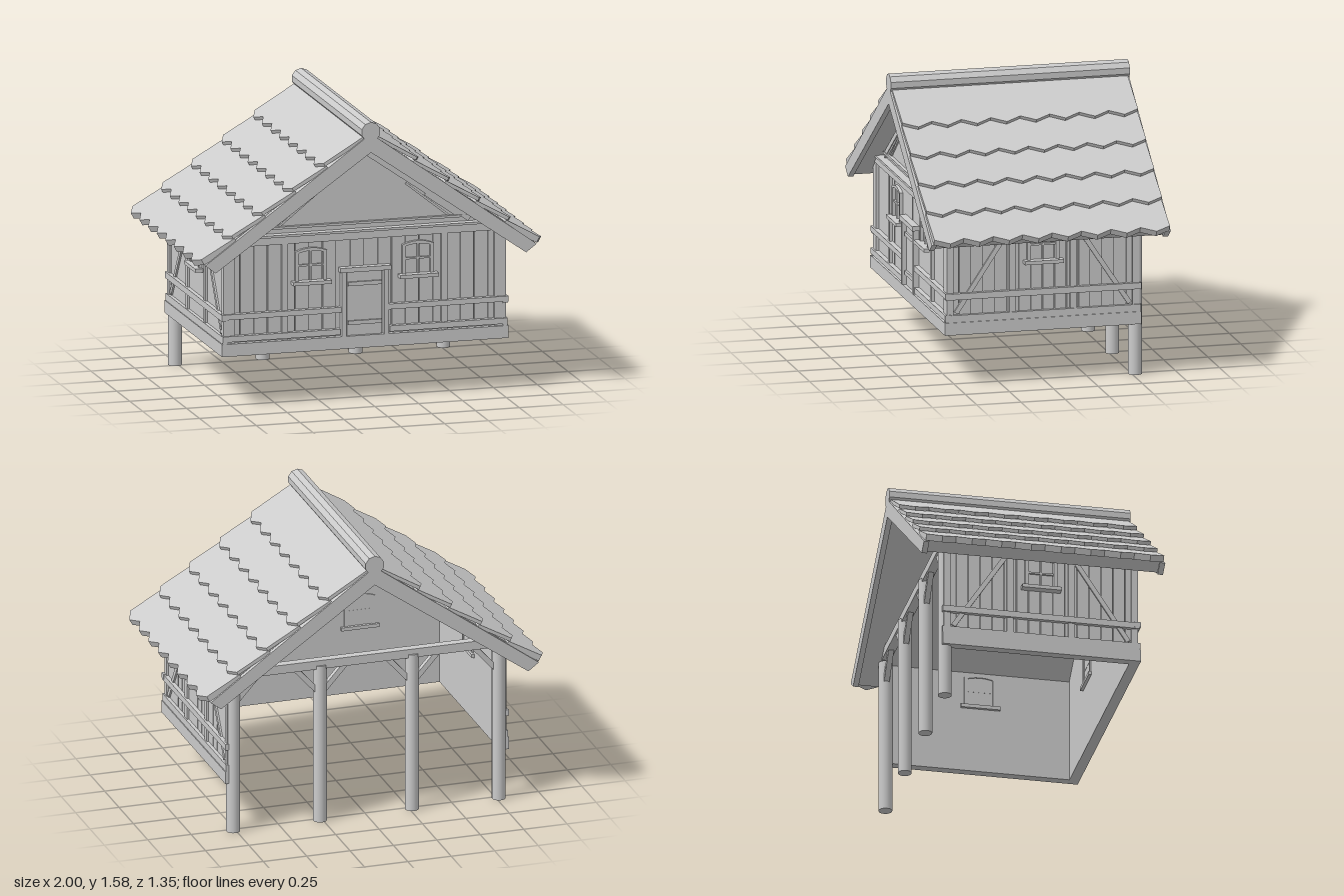
import * as THREE from 'three';

const timber = new THREE.MeshStandardMaterial({ color: 0xcccccc });
timber.name = 'paleTimber';

function add(parent, name, geometry) {
  const mesh = new THREE.Mesh(geometry, timber);
  mesh.name = name;
  parent.add(mesh);
  return mesh;
}

// Box given by its limits
function box(parent, name, x0, x1, y0, y1, z0, z1) {
  const mesh = add(parent, name, new THREE.BoxGeometry(x1 - x0, y1 - y0, z1 - z0));
  mesh.position.set((x0 + x1) / 2, (y0 + y1) / 2, (z0 + z1) / 2);
  return mesh;
}

// Straight timber between two points in the xy plane
function strut(parent, name, ax, ay, bx, by, width, z0, z1) {
  const mesh = add(parent, name,
    new THREE.BoxGeometry(Math.hypot(bx - ax, by - ay), width, z1 - z0));
  mesh.position.set((ax + bx) / 2, (ay + by) / 2, (z0 + z1) / 2);
  mesh.rotation.z = Math.atan2(by - ay, bx - ax);
  return mesh;
}

// Polygon extruded from z0 to z1
function plate(parent, name, points, z0, z1) {
  const shape = new THREE.Shape(points.map(([x, y]) => new THREE.Vector2(x, y)));
  const geometry = new THREE.ExtrudeGeometry(shape, { depth: z1 - z0, bevelEnabled: false });
  const mesh = add(parent, name, geometry);
  mesh.position.z = z0;
  return mesh;
}

// Vertical cladding boards with narrow gaps
function cladding(parent, half, y0, y1, z, count) {
  const step = (2 * half) / count;
  for (let i = 0; i < count; i++) {
    const x = -half + i * step;
    box(parent, 'claddingBoard', x + 0.002, x + step - 0.002, y0, y1, z, z + 0.008);
  }
}

// Framed window with arched head, glazing bars and sill; z is the outer wall face
function windowUnit(parent, x, z) {
  const g = new THREE.Group();
  g.name = 'window';
  g.position.set(x, 0, z);
  parent.add(g);
  const back = -0.035, front = 0.018;
  for (const s of [-1, 1]) {
    const c = s * 0.08;
    box(g, 'windowJamb', c - 0.01, c + 0.01, 0.68, 0.845, back, front);
  }
  const arch = new THREE.Shape();
  arch.moveTo(-0.09, 0.835);
  arch.quadraticCurveTo(0, 0.87, 0.09, 0.835);
  arch.lineTo(0.09, 0.85);
  arch.quadraticCurveTo(0, 0.888, -0.09, 0.85);
  const head = add(g, 'windowHead', new THREE.ExtrudeGeometry(arch,
    { depth: front - back, bevelEnabled: false, curveSegments: 6 }));
  head.position.z = back;
  box(g, 'glazingBar', -0.005, 0.005, 0.68, 0.855, back + 0.006, 0.012);
  box(g, 'glazingBar', -0.08, 0.08, 0.765, 0.775, back + 0.006, 0.012);
  box(g, 'windowSill', -0.11, 0.11, 0.665, 0.685, back - 0.01, 0.045);
}

function frontWall(house) {
  const g = new THREE.Group();
  g.name = 'frontWall';
  house.add(g);
  plate(g, 'frontWallPanel',
    [[-0.785, 0.3], [0.785, 0.3], [0.785, 0.88], [0, 1.43], [-0.785, 0.88]], 0.51, 0.53);
  cladding(g, 0.785, 0.36, 0.9, 0.53, 20);
  box(g, 'frontPlinth', -0.817, 0.817, 0.29, 0.36, 0.51, 0.567);
  box(g, 'topBeam', -0.76, 0.76, 0.9, 0.942, 0.53, 0.562);
  box(g, 'topLedge', -0.7, 0.7, 0.942, 0.955, 0.53, 0.575);
  box(g, 'gableLedge', -0.6, 0.6, 0.982, 0.995, 0.53, 0.55);
  for (const s of [-1, 1]) {
    for (const [x, w] of [[0.765, 0.05], [0.455, 0.036]]) {
      box(g, 'frontStud', s * x - w / 2, s * x + w / 2, 0.36, 0.9, 0.53, 0.555);
    }
    const span = (a, b) => (s > 0 ? [a, b] : [-b, -a]);
    box(g, 'lowerRail', ...span(0.14, 0.812), 0.37, 0.402, 0.53, 0.565);
    box(g, 'middleRail', ...span(0.135, 0.817), 0.495, 0.525, 0.53, 0.566);
    windowUnit(g, s * 0.305, 0.538);
    // Gable trim
    strut(g, 'gableRafter', 0, 1.39, s * 0.6, 0.97, 0.03, 0.53, 0.545);
    strut(g, 'gableBrace', s * 0.54, 0.99, s * 0.35, 1.125, 0.02, 0.53, 0.54);
    strut(g, 'gableBrace', s * 0.49, 0.99, s * 0.24, 1.19, 0.012, 0.53, 0.538);
  }
  // Door
  box(g, 'doorLeaf', -0.1, 0.1, 0.36, 0.73, 0.53, 0.548);
  for (const x of [-0.122, 0.122]) {
    box(g, 'doorJamb', x - 0.013, x + 0.013, 0.36, 0.73, 0.53, 0.57);
  }
  box(g, 'doorLintel', -0.145, 0.145, 0.72, 0.746, 0.53, 0.578);
  for (const y of [0.432, 0.65]) box(g, 'doorBatten', -0.096, 0.096, y - 0.011, y + 0.011, 0.54, 0.56);
}

// Side wall built facing +z, then turned outward
function sideWall(house, side) {
  const g = new THREE.Group();
  g.name = side > 0 ? 'leftWall' : 'rightWall';
  g.rotation.y = side * Math.PI / 2;
  g.position.z = 0.01;
  house.add(g);
  box(g, 'sideWallPanel', -0.545, 0.545, 0.3, 0.88, 0.765, 0.785);
  cladding(g, 0.54, 0.36, 0.875, 0.785, 16);
  box(g, 'sidePlinth', -0.552, 0.552, 0.29, 0.36, 0.765, 0.817);
  box(g, 'lowerRail', -0.552, 0.552, 0.36, 0.4, 0.785, 0.812);
  box(g, 'middleRail', -0.552, 0.552, 0.487, 0.522, 0.785, 0.816);
  for (const s of [-1, 1]) {
    for (const x of [0.525, 0.172]) {
      box(g, 'sideStud', s * x - 0.019, s * x + 0.019, 0.4, 0.875, 0.785, 0.805);
    }
    strut(g, 'sideBrace', s * 0.49, 0.41, s * 0.2, 0.85, 0.026, 0.785, 0.803);
  }
  windowUnit(g, 0, 0.793);
}

// Open back: round posts, tie beam and knee braces
function backFrame(house) {
  const g = new THREE.Group();
  g.name = 'backFrame';
  house.add(g);
  for (const x of [-0.765, -0.265, 0.265, 0.765]) {
    const top = Math.abs(x) > 0.5 ? 0.89 : 0.92;
    const post = add(g, 'backPost', new THREE.CylinderGeometry(0.038, 0.038, top, 20));
    post.position.set(x, top / 2, -0.52);
    for (const s of [-1, 1]) {
      if (Math.abs(x + s * 0.15) > 0.8) continue;
      strut(g, 'kneeBrace', x + s * 0.02, 0.77, x + s * 0.15, 0.915, 0.03, -0.535, -0.505);
    }
  }
  box(g, 'backBeam', -0.76, 0.76, 0.9, 0.95, -0.545, -0.495);
}

// Gabled strip following both slopes
function chevron(parent, name, top, bottom, outer, inner, z0, z1) {
  const [ox, oy] = outer, [ix, iy] = inner;
  plate(parent, name,
    [[0, top], [-ox, oy], [-ix, iy], [0, bottom], [ix, iy], [ox, oy]], z0, z1);
}

// One shingle course with a zigzag lower edge, on the +x slope
function shingleRow(parent, upper, lower, thickness) {
  const dx = lower[0] - upper[0], dy = upper[1] - lower[1];
  const length = Math.hypot(dx, dy), half = 0.665, teeth = 8, step = half / teeth;
  const points = [[half, length], [-half, length]];
  for (let i = 0; i <= teeth * 2; i++) points.push([-half + i * step, i % 2 ? 0 : 0.038]);
  const mesh = plate(parent, 'shingleRow', points, -thickness, 0);
  const up = new THREE.Vector3(-dx, dy, 0).normalize();
  const normal = new THREE.Vector3(dy, dx, 0).normalize();
  mesh.geometry.translate(0, 0, -thickness);
  const basis = new THREE.Matrix4().makeBasis(new THREE.Vector3(0, 0, -1), up, normal);
  mesh.quaternion.setFromRotationMatrix(basis);
  mesh.position.set(lower[0], lower[1], 0);
}

function roof(house) {
  const g = new THREE.Group();
  g.name = 'roof';
  house.add(g);
  chevron(g, 'roofDeck', 1.51, 1.425, [0.94, 0.845], [0.885, 0.802], -0.65, 0.65);
  for (const z of [-0.675, 0.645]) {
    chevron(g, 'bargeboard', 1.515, 1.41, [0.945, 0.835], [0.885, 0.79], z, z + 0.03);
  }
  const edges = [0.02, 0.3, 0.48, 0.655, 0.825, 0.998];
  for (const side of [1, -1]) {
    const slope = new THREE.Group();
    slope.name = side > 0 ? 'leftShingles' : 'rightShingles';
    if (side < 0) slope.rotation.y = Math.PI;
    g.add(slope);
    for (let i = 1; i < edges.length; i++) {
      const x0 = Math.max(0.02, edges[i - 1] - 0.05), x1 = edges[i];
      shingleRow(slope, [x0, 1.525 - 0.707 * x0], [x1, 1.557 - 0.707 * x1], i === 5 ? 0.036 : 0.02);
    }
  }
  // Faceted ridge log
  const log = new THREE.CylinderGeometry(0.055, 0.055, 1.35, 10).toNonIndexed();
  log.computeVertexNormals();
  add(g, 'ridgeLog', log.rotateX(Math.PI / 2)).position.y = 1.525;
}

export function createModel() {
  const house = new THREE.Group();
  house.name = 'stiltHouse';
  frontWall(house);
  sideWall(house, 1);
  sideWall(house, -1);
  backFrame(house);
  roof(house);
  return house;
}
